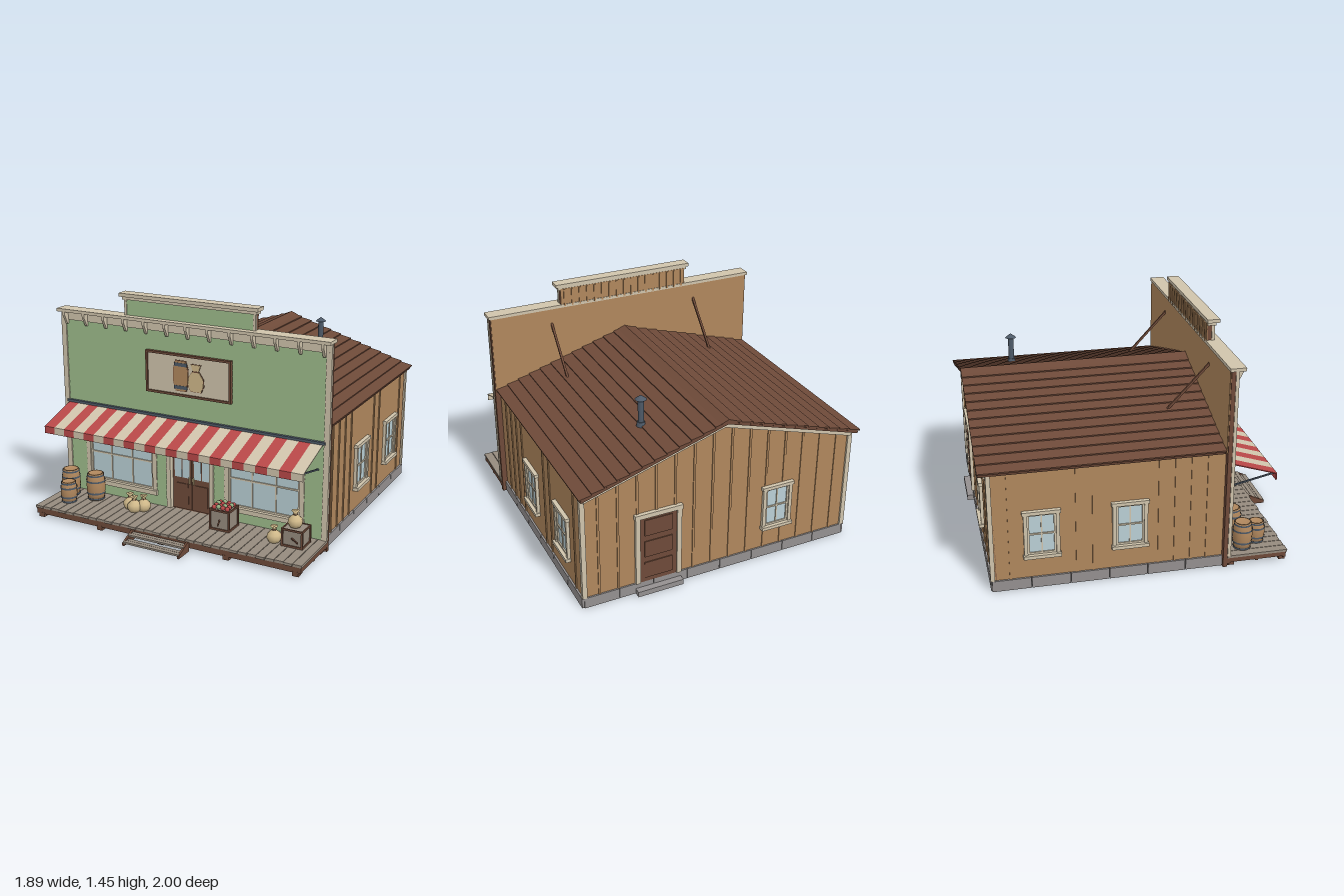
import * as THREE from 'three';

const mat = (name, color) => new THREE.MeshStandardMaterial({ name, color, side: THREE.DoubleSide });

export function createModel() {
  const root = new THREE.Group();
  root.name = 'generalStore';
  const green = mat('sidingGreen', 0x93b082), cream = mat('trimCream', 0xd0c4ac), tan = mat('wallTan', 0xb0875d),
    brown = mat('darkBrown', 0x6e4a39), red = mat('stripeRed', 0xb84848), slate = mat('slateMetal', 0x4e5a68),
    glass = mat('paleGlass', 0xbad0d6), grey = mat('deckGrey', 0x968b7e), stone = mat('stoneGrey', 0x949090),
    sackMat = mat('sackBeige', 0xd0b98a);

  const group = (name, parent = root) => {
    const g = new THREE.Group(); g.name = name; parent.add(g); return g;
  };
  const add = (parent, name, geo, m, x = 0, y = 0, z = 0) => {
    const o = new THREE.Mesh(geo, m); o.name = name; o.position.set(x, y, z); parent.add(o); return o;
  };
  // box given by its extents on each axis
  const box = (p, name, m, x0, x1, y0, y1, z0, z1) => add(p, name,
    new THREE.BoxGeometry(x1 - x0, y1 - y0, z1 - z0), m, (x0 + x1) / 2, (y0 + y1) / 2, (z0 + z1) / 2);
  // square bar between two points
  const bar = (p, name, m, a, b, t) => {
    const A = new THREE.Vector3(...a), B = new THREE.Vector3(...b);
    const o = add(p, name, new THREE.BoxGeometry(t, t, A.distanceTo(B)), m);
    o.position.copy(A).add(B).multiplyScalar(0.5);
    o.lookAt(B); return o;
  };
  const poly = pts => new THREE.Shape(pts.map(q => new THREE.Vector2(...q)));
  const extrude = (s, depth) => new THREE.ExtrudeGeometry(s, { depth, bevelEnabled: false });
  const lathe = (pts, n) => new THREE.LatheGeometry(pts.map(q => new THREE.Vector2(...q)), n);
  const hole = (x0, x1, y0, y1) => new THREE.Path([[x0, y0], [x1, y0], [x1, y1], [x0, y1]].map(q => new THREE.Vector2(...q)));

  // framed window facing +z, centred on x, standing on y = 0
  function windowUnit(parent, name, w, h, cols, t) {
    const g = group(name, parent);
    box(g, 'glass', glass, -w / 2, w / 2, 0, h, 0, 0.004);
    for (const s of [-1, 1]) {
      const x = s * (w / 2 + t / 2);
      box(g, 'sideTrim', cream, x - t / 2, x + t / 2, -t, h + t, 0, 0.02);
      box(g, 'sashSide', cream, s * (w / 2 - 0.006) - 0.006, s * (w / 2 - 0.006) + 0.006, 0, h, 0, 0.012);
      box(g, 'sashRail', cream, -w / 2, w / 2, s > 0 ? h - 0.012 : 0, s > 0 ? h : 0.012, 0, 0.012);
    }
    box(g, 'headTrim', cream, -w / 2 - t - 0.008, w / 2 + t + 0.008, h, h + t, 0, 0.026);
    box(g, 'sill', cream, -w / 2 - t - 0.006, w / 2 + t + 0.006, -t, 0, 0, 0.034);
    for (let i = 1; i < cols; i++) {
      const x = -w / 2 + w * i / cols;
      box(g, 'muntin', cream, x - 0.004, x + 0.004, 0, h, 0, 0.01);
    }
    box(g, 'crossRail', cream, -w / 2, w / 2, h / 2 - 0.005, h / 2 + 0.005, 0, 0.011);
    return g;
  }

  // ---- main building: stone base, side walls, gable ----
  const house = group('building');
  for (const s of [-1, 1]) {
    for (let i = 0; i < 6; i++) {
      const z = -0.945 + i * 0.2367;
      box(house, 'stoneBlock', stone, s * 0.895 - 0.017, s * 0.895 + 0.017, 0, 0.07, z + 0.002, z + 0.2347);
    }
    box(house, 'baseLining', cream, s * 0.873 - 0.003, s * 0.873 + 0.003, 0, 0.07, -0.92, 0.47);
    box(house, 'sideWall', tan, s * 0.89 - 0.01, s * 0.89 + 0.01, 0.07, 0.78, -0.94, 0.472);
    box(house, 'sideLining', brown, s * 0.876 - 0.003, s * 0.876 + 0.003, 0.07, 0.78, -0.92, 0.472);
    box(house, 'cornerTrim', cream, s * 0.895 - 0.015, s * 0.895 + 0.015, 0.07, 0.775, -0.952, -0.925);
    for (let i = 0; i < 13; i++) {
      const z = -0.83 + i * 0.1;
      if (Math.abs(z + 0.11) > 0.13 && Math.abs(z + 0.64) > 0.13)
        box(house, 'sideBatten', tan, s * 0.9 - 0.006, s * 0.9 + 0.006, 0.07, 0.775, z - 0.007, z + 0.007);
    }
    for (const z of [-0.11, -0.64]) {
      const w = windowUnit(house, 'sideWindow', 0.17, 0.265, 2, 0.022);
      w.position.set(s * 0.9, 0.228, z); w.rotation.y = s * Math.PI / 2;
      box(house, 'windowBacking', cream, s * 0.868 - 0.004, s * 0.868 + 0.004, 0.2, 0.515, z - 0.1, z + 0.1);
    }
  }
  for (let i = 0; i < 8; i++) {
    const x = -0.9 + i * 0.225;
    box(house, 'stoneBlock', stone, x + 0.002, x + 0.223, 0, 0.07, -0.95, -0.918);
  }
  const gable = [[-0.9, 0.07], [0.9, 0.07], [0.9, 0.765], [0, 1.045], [-0.9, 0.765]];
  add(house, 'backWall', extrude(poly(gable), 0.02), tan, 0, 0, -0.94);
  add(house, 'backLining', extrude(poly(gable), 0.004), brown, 0, 0, -0.92);
  for (let i = 0; i < 14; i++) {
    const x = -0.8 + i * 0.123, low = Math.abs(x - 0.42) < 0.16 ? 0.56 : Math.abs(x + 0.39) < 0.125 ? 0.52 : 0.07;
    box(house, 'backBatten', tan, x - 0.007, x + 0.007, low, 1.035 - Math.abs(x) * 0.31, -0.946, -0.938);
    if (low === 0.52) box(house, 'backBattenLow', tan, x - 0.007, x + 0.007, 0.07, 0.2, -0.946, -0.938);
  }
  const backWin = windowUnit(house, 'backWindow', 0.16, 0.265, 2, 0.022);
  backWin.position.set(-0.39, 0.228, -0.94); backWin.rotation.y = Math.PI;
  // back door and its step
  const bd = group('backDoor', house);
  box(bd, 'leaf', brown, 0.3, 0.54, 0.07, 0.53, -0.95, -0.94);
  for (const y of [0.1, 0.25, 0.4]) box(bd, 'panel', brown, 0.33, 0.51, y, y + 0.11, -0.956, -0.95);
  for (const x of [0.285, 0.555]) box(bd, 'sideTrim', cream, x - 0.015, x + 0.015, 0.07, 0.555, -0.96, -0.94);
  box(bd, 'headTrim', cream, 0.265, 0.575, 0.53, 0.56, -0.965, -0.94);
  box(bd, 'step', stone, 0.27, 0.57, 0, 0.035, -0.992, -0.94);

  // ---- roof of lapped boards ----
  const roof = group('roof');
  const a = Math.atan2(0.285, 0.925), L = 0.965, n = 12;
  for (const s of [-1, 1]) {
    const place = (name, m, len, th, depth, d, off, z, tilt = 0) => {
      const o = add(roof, name, new THREE.BoxGeometry(len, th, depth), m,
        s * (d * Math.cos(a) + off * Math.sin(a)), 1.07 - d * Math.sin(a) + off * Math.cos(a), z);
      o.rotation.z = s * (tilt - a);
    };
    place('roofDeck', brown, L, 0.014, 1.46, L / 2, -0.014, -0.265);
    for (let i = 0; i < n; i++) place('roofBoard', brown, L / n + 0.012, 0.01, 1.468, (i + 0.5) * L / n, -0.001, -0.266, 0.11);
    place('rakeTrim', cream, 0.945, 0.035, 0.018, 0.475, -0.038, -0.955);
    bar(roof, 'facadeBrace', brown, [s * 0.52, 1.19, 0.47], [s * 0.52, 0.91, 0.21], 0.014);
  }
  const ridge = add(roof, 'ridgeCap', extrude(poly([[-0.05, 1.062], [0, 1.082], [0.05, 1.062], [0, 1.066]]), 1.468), brown, 0, 0, -1);
  ridge.name = 'ridgeCap';
  const pipe = group('stovePipe');
  add(pipe, 'flue', new THREE.CylinderGeometry(0.018, 0.018, 0.19, 16), slate, 0.385, 1.03, -0.635);
  add(pipe, 'collar', new THREE.CylinderGeometry(0.023, 0.028, 0.03, 16), slate, 0.385, 0.965, -0.635);
  add(pipe, 'cap', new THREE.ConeGeometry(0.036, 0.028, 16), slate, 0.385, 1.14, -0.635);

  // ---- false front ----
  const front = group('falseFront');
  const slab = poly([[-0.935, 0], [0.935, 0], [0.935, 1.3], [0.45, 1.3], [0.45, 1.42], [-0.45, 1.42], [-0.45, 1.3], [-0.935, 1.3]]);
  slab.holes.push(hole(-0.15, 0.15, 0.075, 0.55), hole(-0.755, -0.275, 0.175, 0.55), hole(0.275, 0.755, 0.175, 0.55));
  add(front, 'frontWall', extrude(slab, 0.028), brown, 0, 0, 0.472);
  box(front, 'rearBoards', tan, -0.93, 0.93, 0.775, 1.3, 0.466, 0.472);
  box(front, 'rearUpperBoards', tan, -0.45, 0.45, 1.3, 1.42, 0.466, 0.472);
  for (let i = -8; i <= 8; i++) box(front, 'rearBatten', tan, i * 0.053 - 0.006, i * 0.053 + 0.006, 1.3, 1.415, 0.46, 0.467);
  const clap = (x0, x1, y, h) => {
    box(front, 'clapboard', green, x0, x1, y, y + h + 0.004, 0.502, 0.51).rotation.x = -0.16;
  };
  for (let i = 0; i < 31; i++) {
    const y = 0.075 + i * 0.0375;
    const spans = i < 2 ? [[-0.905, -0.15], [0.15, 0.905]] : i < 13
      ? [[-0.905, -0.77], [-0.26, -0.15], [0.15, 0.26], [0.77, 0.905]] : [[-0.905, 0.905]];
    spans.forEach(([p, q]) => clap(p, q, y, 0.0375));
  }
  for (let i = 0; i < 3; i++) clap(-0.445, 0.445, 1.31 + i * 0.035, 0.035);
  box(front, 'frieze', cream, -0.94, 0.94, 1.235, 1.295, 0.498, 0.516);
  box(front, 'cornice', cream, -0.945, 0.945, 1.292, 1.312, 0.462, 0.558);
  box(front, 'upperCornice', cream, -0.48, 0.48, 1.43, 1.452, 0.462, 0.54);
  box(front, 'upperMoulding', cream, -0.465, 0.465, 1.41, 1.432, 0.468, 0.522);
  for (const s of [-1, 1]) {
    box(front, 'cornerBoard', cream, s * 0.922 - 0.018, s * 0.922 + 0.018, 0.075, 1.24, 0.498, 0.518);
    box(front, 'upperCornerBoard', cream, s * 0.447 - 0.008, s * 0.447 + 0.008, 1.31, 1.412, 0.498, 0.516);
  }
  const bracket = extrude(poly([[0, 1.21], [0.012, 1.21], [0.042, 1.27], [0.042, 1.293], [0, 1.293]]), 0.016);
  for (let i = -6; i <= 6; i++) add(front, 'bracket', bracket, cream, i * 0.149 + 0.008, 0, 0.512).rotation.y = -Math.PI / 2;
  // display windows with their boxes behind
  for (const s of [-1, 1]) {
    const w = windowUnit(front, 'displayWindow', 0.48, 0.37, 3, 0.03);
    w.position.set(s * 0.515, 0.175, 0.496);
    const b = group('displayBox', front), x0 = s * 0.515 - 0.25, x1 = s * 0.515 + 0.25;
    box(b, 'boxBack', cream, x0, x1, 0.16, 0.56, 0.314, 0.322);
    for (const x of [x0, x1]) box(b, 'boxSide', cream, x - 0.004, x + 0.004, 0.16, 0.56, 0.318, 0.472);
    box(b, 'boxFloor', brown, x0, x1, 0.155, 0.163, 0.318, 0.472);
  }
  // entrance: double doors under a transom
  const door = group('entrance');
  box(door, 'vestibule', cream, -0.17, 0.17, 0.075, 0.56, 0.425, 0.47);
  box(door, 'transomGlass', glass, -0.14, 0.14, 0.485, 0.545, 0.476, 0.48);
  box(door, 'transomBar', cream, -0.15, 0.15, 0.47, 0.487, 0.472, 0.5);
  box(door, 'headTrim', cream, -0.175, 0.175, 0.545, 0.575, 0.498, 0.524);
  for (const s of [-1, 1]) {
    box(door, 'jambTrim', cream, s * 0.155 - 0.015, s * 0.155 + 0.015, 0.075, 0.55, 0.474, 0.52);
    box(door, 'leaf', brown, s * 0.07 - 0.068, s * 0.07 + 0.068, 0.075, 0.47, 0.472, 0.488);
    for (const d of [-0.029, 0.029]) box(door, 'pane', glass, s * 0.07 + d - 0.025, s * 0.07 + d + 0.025, 0.29, 0.455, 0.488, 0.491);
    box(door, 'lowerPanel', brown, s * 0.07 - 0.045, s * 0.07 + 0.045, 0.11, 0.25, 0.488, 0.493);
    box(door, 'handle', sackMat, s * 0.014 - 0.004, s * 0.014 + 0.004, 0.255, 0.3, 0.488, 0.502);
  }

  // ---- sign board with barrel and sack pictures ----
  const sign = group('signBoard');
  box(sign, 'field', cream, -0.29, 0.29, 0.855, 1.1, 0.505, 0.522);
  for (const s of [-1, 1]) {
    box(sign, 'frameSide', brown, s * 0.293 - 0.007, s * 0.293 + 0.007, 0.843, 1.11, 0.505, 0.532);
    box(sign, 'frameRail', brown, -0.3, 0.3, 0.977 + s * 0.127 - 0.007, 0.977 + s * 0.127 + 0.007, 0.505, 0.532);
  }
  const cask = [[-0.035, -0.095], [0.035, -0.095], [0.05, -0.04], [0.05, 0.04], [0.035, 0.095], [-0.035, 0.095], [-0.05, 0.04], [-0.05, -0.04]];
  const bag = [[-0.035, -0.085], [0.035, -0.085], [0.053, -0.045], [0.05, 0], [0.02, 0.045], [0.035, 0.085], [-0.035, 0.085], [-0.02, 0.045], [-0.05, 0], [-0.053, -0.045]];
  [[cask, tan, -0.05, 0.973], [bag, sackMat, 0.056, 0.97]].forEach(([pts, m, x, y]) => {
    const grown = pts.map(([u, v]) => [u * 1.09, v * 1.04]);
    add(sign, 'pictureOutline', extrude(poly(grown), 0.003), brown, x, y, 0.522);
    add(sign, 'picture', extrude(poly(pts), 0.006), m, x, y, 0.522);
  });
  for (const y of [0.9, 1.045]) box(sign, 'pictureHoop', slate, -0.095, -0.005, y - 0.011, y + 0.011, 0.522, 0.53);
  box(sign, 'pictureTie', brown, 0.034, 0.078, 1.008, 1.016, 0.522, 0.53);

  // ---- striped awning ----
  const awning = group('awning');
  box(awning, 'headRail', slate, -0.915, 0.915, 0.684, 0.7, 0.505, 0.528);
  for (let i = 0; i < 24; i++) {
    const x = -0.8625 + i * 0.075, m = i % 2 ? cream : red;
    add(awning, 'stripe', new THREE.BoxGeometry(0.075, 0.006, 0.295), m, x, 0.638, 0.658).rotation.x = 0.311;
    box(awning, 'valance', m, x - 0.0375, x + 0.0375, 0.55, 0.596, 0.794, 0.8);
  }
  for (const x of [-0.87, 0, 0.87]) bar(awning, 'strut', slate, [x, 0.585, 0.79], [x, 0.523, 0.51], 0.009);

  // ---- boardwalk and steps ----
  const deck = group('boardwalk');
  for (let i = 0; i < 32; i++) {
    const x = -0.94 + i * 0.05875;
    box(deck, 'plank', grey, x + 0.002, x + 0.0568, 0.06, 0.076, 0.5, 0.886 - (i * 7 % 3) * 0.003);
  }
  for (const z of [0.51, 0.69, 0.87]) box(deck, 'beam', brown, -0.935, 0.935, 0.022, 0.062, z - 0.009, z + 0.009);
  for (let i = 0; i < 9; i++) {
    const x = -0.926 + i * 0.2315;
    box(deck, 'joist', brown, x - 0.009, x + 0.009, 0.03, 0.061, 0.5, 0.878);
    if (i % 2 === 0) for (const z of [0.53, 0.86]) box(deck, 'foot', brown, x * 0.97 - 0.02, x * 0.97 + 0.02, 0, 0.03, z - 0.02, z + 0.02);
  }
  const stringer = extrude(poly([[0.88, 0], [1, 0], [1, 0.018], [0.9, 0.062], [0.88, 0.062]]), 0.014);
  for (const x of [-0.186, 0.2]) add(deck, 'stepStringer', stringer, brown, x, 0, 0).rotation.y = -Math.PI / 2;
  [[0.05, 0.888], [0.05, 0.916], [0.026, 0.944], [0.026, 0.972]].forEach(([y, z]) =>
    box(deck, 'tread', grey, -0.195, 0.195, y - 0.012, y, z, z + 0.026));

  // ---- goods ----
  const barrel = (x, z, r, h) => {
    const g = group('barrel'); g.position.set(x, 0.076, z);
    const at = t => r * (0.82 + 0.18 * Math.sin(Math.PI * t));
    const pts = [0, 0.2, 0.4, 0.6, 0.8, 1].map(t => [at(t), t * h]);
    add(g, 'staves', lathe([[0, 0], ...pts, [at(1) - 0.007, h], [at(1) - 0.007, h - 0.008], [0, h - 0.008]], 16), tan);
    for (const t of [0.06, 0.28, 0.72, 0.94])
      add(g, 'hoop', new THREE.CylinderGeometry(at(t) + 0.003, at(t) + 0.003, 0.012, 16, 1, true), slate, 0, t * h, 0);
  };
  barrel(-0.845, 0.62, 0.062, 0.18); barrel(-0.655, 0.61, 0.062, 0.18); barrel(-0.785, 0.73, 0.054, 0.14);
  const sackGeo = lathe([[0, 0], [0.034, 0.002], [0.046, 0.025], [0.042, 0.05], [0.022, 0.07], [0.011, 0.078], [0.014, 0.088], [0.024, 0.102], [0, 0.097]], 12);
  [[-0.37, 0.076, 0.64], [-0.32, 0.076, 0.67], [-0.275, 0.076, 0.63], [0.66, 0.076, 0.66], [0.785, 0.19, 0.635]].forEach(([x, y, z]) => {
    const g = group('sack'); g.position.set(x, y, z);
    add(g, 'cloth', sackGeo, sackMat);
    add(g, 'tie', new THREE.TorusGeometry(0.012, 0.003, 6, 12), brown, 0, 0.079, 0).rotation.x = Math.PI / 2;
  });
  const crate = (x, z, h) => {
    const g = group('crate'); g.position.set(x, 0.076, z);
    box(g, 'panels', grey, -0.062, 0.062, 0.004, h - 0.004, -0.057, 0.057);
    for (const s of [-1, 1]) for (const t of [-1, 1]) {
      box(g, 'post', brown, s * 0.064 - 0.006, s * 0.064 + 0.006, 0, h, t * 0.059 - 0.006, t * 0.059 + 0.006);
      const y = t > 0 ? h - 0.006 : 0.006;
      box(g, 'longRail', brown, -0.068, 0.068, y - 0.006, y + 0.006, s * 0.06 - 0.004, s * 0.06 + 0.004);
      box(g, 'endRail', brown, s * 0.065 - 0.004, s * 0.065 + 0.004, y - 0.006, y + 0.006, -0.06, 0.06);
    }
    for (const t of [-1, 1]) bar(g, 'diagonal', brown, [-0.062, 0.01, t * 0.059], [0.062, h - 0.01, t * 0.059], 0.008);
    return g;
  };
  crate(0.79, 0.63, 0.114);
  const fruitCrate = crate(0.3, 0.62, 0.135);
  const fruit = new THREE.SphereGeometry(0.015, 10, 8);
  for (let i = 0; i < 16; i++)
    add(fruitCrate, 'fruit', fruit, i % 3 === 1 ? green : red, -0.045 + (i % 4) * 0.03, 0.142 + (i * 5 % 3) * 0.003, -0.042 + Math.floor(i / 4) * 0.028);

  return root;
}
